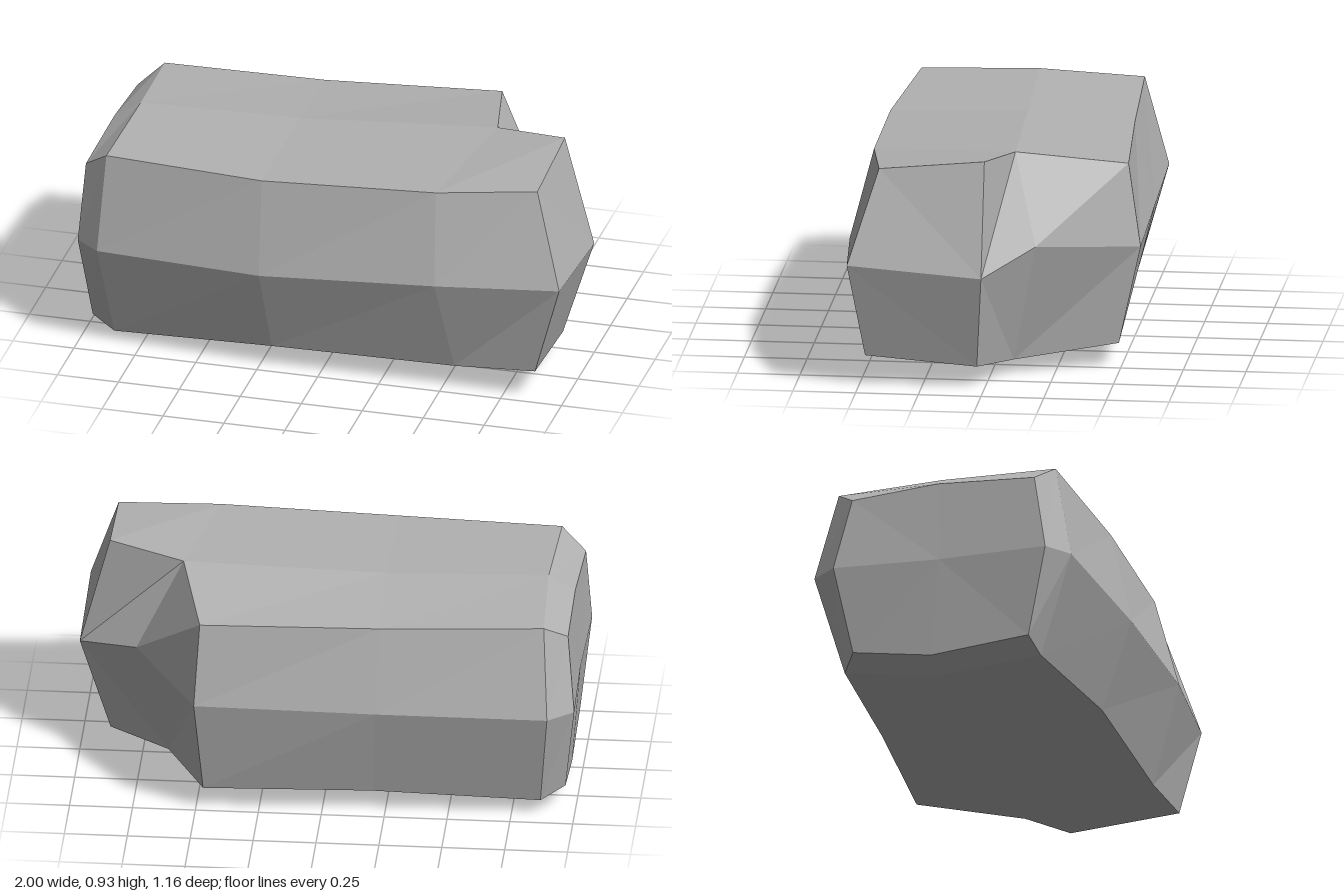
import * as THREE from 'three';

// Cross-sections along x. Each runs from the top ridge over the front,
// round the bottom and up the back: top, top front, front, bottom front,
// bottom, bottom back, back, top back.
const RINGS = [
  [[-0.97, 0.79, -0.01], [-0.98, 0.765, 0.39], [-1, 0.45, 0.44], [-0.96, 0.09, 0.36],
   [-0.96, 0.05, -0.04], [-0.96, 0.1, -0.36], [-1, 0.46, -0.43], [-0.97, 0.76, -0.36]],
  [[-0.865, 0.855, -0.02], [-0.88, 0.84, 0.45], [-0.9, 0.45, 0.52], [-0.865, 0.04, 0.385],
   [-0.865, 0, -0.05], [-0.865, 0.06, -0.42], [-0.9, 0.47, -0.535], [-0.88, 0.83, -0.44]],
  [[-0.22, 0.855, -0.05], [-0.23, 0.835, 0.5], [-0.22, 0.455, 0.58], [-0.2, 0.09, 0.455],
   [-0.2, 0.06, -0.07], [-0.2, 0.09, -0.45], [-0.22, 0.48, -0.555], [-0.23, 0.82, -0.475]],
  [[0.58, 0.895, -0.09], [0.48, 0.865, 0.485], [0.5, 0.5, 0.58], [0.55, 0.1, 0.46],
   [0.64, 0.06, -0.09], [0.47, 0.095, -0.49], [0.5, 0.5, -0.58], [0.48, 0.835, -0.53]],
];
// The front half reaches further right than the back half.
const TIP = [[0.88, 0.93, 0], [0.88, 0.89, 0.42], [1, 0.52, 0.535], [0.885, 0.125, 0.475], [0.88, 0.09, 0.03]];
const TIP_MID = [1, 0.48, 0];
const NOTCH = [0.76, 0.555, -0.19];

export function createModel() {
  const positions = [];
  const tri = (a, b, c) => positions.push(...a, ...b, ...c);
  const quad = (a, b, c, d) => { tri(a, b, d); tri(b, c, d); };

  // Long sides
  for (let i = 0; i < RINGS.length - 1; i++) {
    const r = RINGS[i], s = RINGS[i + 1];
    for (let j = 0; j < 8; j++) {
      const k = (j + 1) % 8;
      quad(r[j], r[k], s[k], s[j]);
    }
  }

  // Extended front half
  const last = RINGS[3];
  for (let j = 0; j < 4; j++) quad(last[j], last[j + 1], TIP[j + 1], TIP[j]);

  // Left end cap
  const cap = RINGS[0];
  const centre = [-0.99, 0.45, 0];
  for (let j = 0; j < 8; j++) tri(centre, cap[(j + 1) % 8], cap[j]);

  // Right end face
  quad(TIP[0], TIP[1], TIP[2], TIP_MID);
  quad(TIP_MID, TIP[2], TIP[3], TIP[4]);

  // Broken notch at the back of the right end
  const [top, , , , bottom, bottomBack, back, topBack] = last;
  tri(TIP[0], TIP_MID, top);
  tri(top, TIP_MID, NOTCH);
  tri(TIP_MID, bottom, NOTCH);
  tri(TIP_MID, TIP[4], bottom);
  tri(NOTCH, bottom, back);
  tri(back, bottom, bottomBack);
  tri(top, NOTCH, topBack);
  tri(topBack, NOTCH, back);

  const geometry = new THREE.BufferGeometry();
  geometry.setAttribute('position', new THREE.Float32BufferAttribute(positions, 3));
  geometry.computeVertexNormals();

  const stone = new THREE.MeshStandardMaterial({ color: 0xb2b2b2 });
  stone.name = 'stone grey';
  stone.flatShading = true;

  const rock = new THREE.Mesh(geometry, stone);
  rock.name = 'rock';
  const group = new THREE.Group();
  group.name = 'stoneBlock';
  group.add(rock);
  return group;
}
